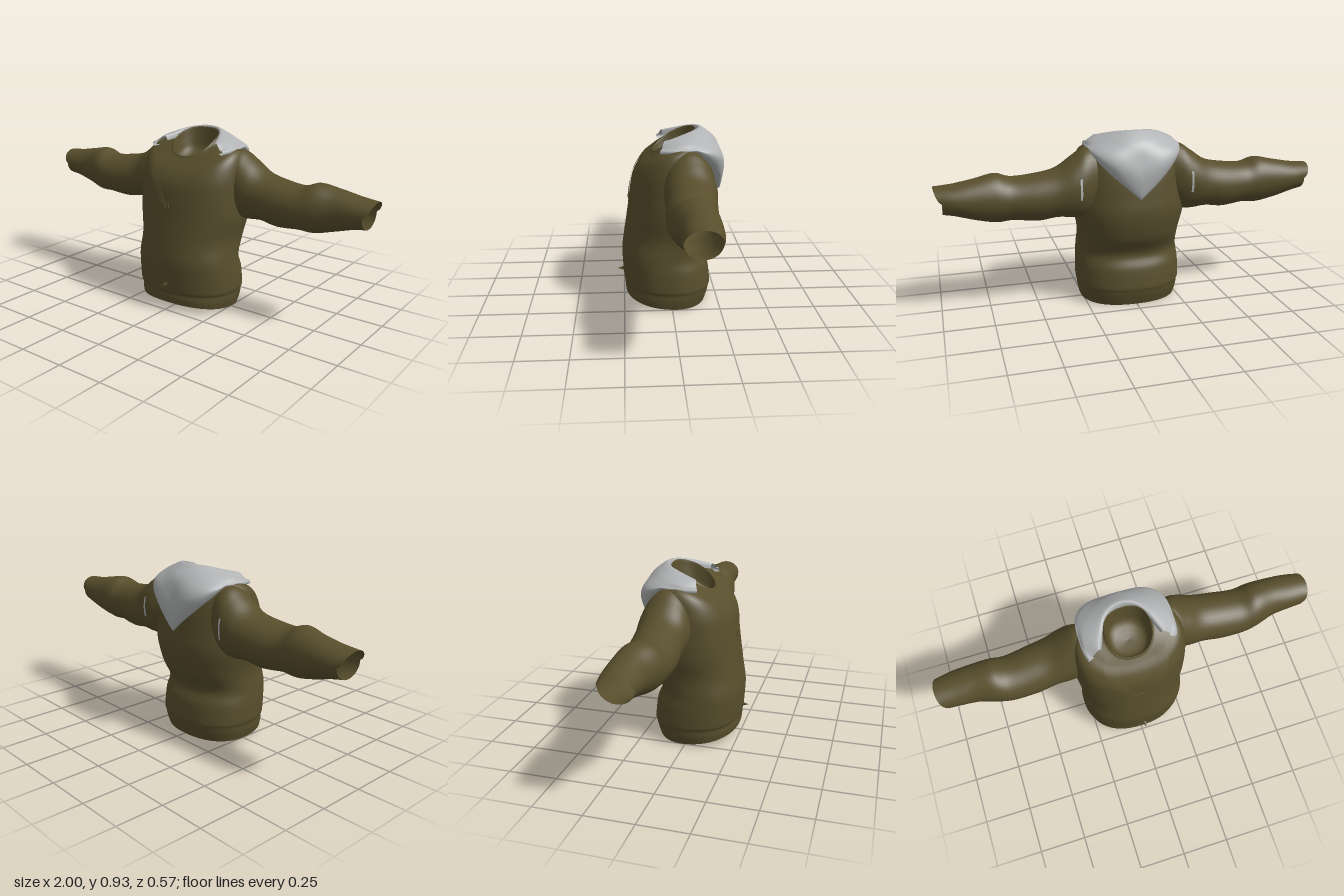
import * as THREE from 'three';

const olive = new THREE.MeshStandardMaterial({ name: 'olive cloth', color: 0x584e2c, side: THREE.DoubleSide });
const grey = new THREE.MeshStandardMaterial({ name: 'grey hood cloth', color: 0xb0b2b3, side: THREE.DoubleSide });

// Smooth interpolation through rows of numbers; t counts rows
function sample(rows, t) {
  const i = Math.min(Math.floor(t), rows.length - 2), f = t - i;
  const row = k => rows[THREE.MathUtils.clamp(k, 0, rows.length - 1)];
  const a = row(i - 1), b = row(i), c = row(i + 1), d = row(i + 2);
  return b.map((p, k) => {
    const m0 = (c[k] - a[k]) / 2, m1 = (d[k] - p) / 2, e = c[k] - p;
    return p + f * (m0 + f * (3 * e - 2 * m0 - m1 + f * (m0 + m1 - 2 * e)));
  });
}

// Surface mesh from fn(u, v) with u, v in 0..1; keep() may leave out cells
function surface(name, material, fn, nu, nv, closed = false, keep = () => true) {
  const cols = closed ? nu : nu + 1, pos = [], index = [];
  for (let j = 0; j <= nv; j++)
    for (let i = 0; i < cols; i++) pos.push(...fn(i / nu, j / nv));
  for (let j = 0; j < nv; j++)
    for (let i = 0; i < nu; i++) {
      if (!keep(...fn((i + 0.5) / nu, (j + 0.5) / nv))) continue;
      const a = j * cols + i, b = j * cols + (i + 1) % cols;
      index.push(a, b, b + cols, a, b + cols, a + cols);
    }
  const g = new THREE.BufferGeometry();
  g.setAttribute('position', new THREE.Float32BufferAttribute(pos, 3));
  g.setIndex(index);
  g.computeVertexNormals();
  const mesh = new THREE.Mesh(g, material);
  mesh.name = name;
  return mesh;
}

// Torso rings: y front, y side, y back, half width, z front, z back
const torsoRows = [
  [0.045, 0.012, 0.003, 0.262, 0.24, -0.19],
  [0.075, 0.055, 0.05, 0.272, 0.243, -0.205],
  [0.10, 0.09, 0.085, 0.274, 0.24, -0.212],
  [0.115, 0.11, 0.105, 0.281, 0.248, -0.215],
  [0.20, 0.20, 0.20, 0.28, 0.255, -0.203],
  [0.28, 0.28, 0.28, 0.273, 0.257, -0.178],
  [0.38, 0.38, 0.38, 0.27, 0.243, -0.23],
  [0.50, 0.50, 0.50, 0.292, 0.225, -0.254],
  [0.60, 0.61, 0.60, 0.295, 0.212, -0.245],
  [0.68, 0.73, 0.70, 0.29, 0.196, -0.23],
  [0.74, 0.825, 0.79, 0.265, 0.16, -0.205],
  [0.78, 0.86, 0.85, 0.20, 0.115, -0.17],
  [0.795, 0.872, 0.885, 0.128, 0.098, -0.14],
  [0.805, 0.885, 0.926, 0.116, 0.09, -0.13],
  [0.785, 0.84, 0.87, 0.108, 0.082, -0.12],
  [0.755, 0.775, 0.80, 0.085, 0.06, -0.10],
  [0.76, 0.76, 0.76, 0, -0.02, -0.02],
];

function torsoPoint(angle, t, offset = 0) {
  const [yf, ys, yb, w, zf, zb] = sample(torsoRows, t);
  const soft = v => Math.sign(v) * Math.abs(v) ** 0.87;
  const s = soft(Math.sin(angle)), c = soft(Math.cos(angle)), mean = (yf + yb) / 2;
  return [
    (w + offset) * s,
    mean + (yf - yb) / 2 * c + (ys - mean) * (1 - c * c) + offset * 0.4,
    (zf + zb) / 2 + ((zf - zb) / 2 + offset) * c,
  ];
}

const torsoPart = (name, t0, t1, nv, keep) => surface(name, olive,
  (u, v) => torsoPoint(u * Math.PI * 2, t0 + (t1 - t0) * v), 96, nv, true, keep);

// Sleeve rings: x, y centre, z centre, y radius, z radius
const sleeveRows = [
  [0.20, 0.68, -0.085, 0.165, 0.10],
  [0.26, 0.664, -0.085, 0.175, 0.125],
  [0.32, 0.643, -0.085, 0.156, 0.132],
  [0.40, 0.62, -0.083, 0.126, 0.125],
  [0.50, 0.602, -0.075, 0.121, 0.125],
  [0.62, 0.602, -0.065, 0.110, 0.118],
  [0.70, 0.612, -0.072, 0.124, 0.113],
  [0.80, 0.615, -0.086, 0.104, 0.098],
  [0.90, 0.62, -0.086, 0.08, 0.092],
  [0.96, 0.62, -0.08, 0.07, 0.083],
];

// The cuff end is longer on its upper half
function sleevePoint(side, angle, t, offset = 0) {
  const [x, y, z, ry, rz] = sample(sleeveRows, t);
  const lip = 0.04 * Math.max(0, t - 8) * Math.max(0, Math.cos(angle)) ** 0.6;
  return [side * (x + lip), y + (ry + offset) * Math.cos(angle), z + (rz + offset) * Math.sin(angle)];
}

// Hood: a profile from the neck rim over the roll to the hanging point, swept round the back
function hoodPoint(u, v) {
  const end = 1.95, a = (u * 2 - 1) * end, t2 = (a / end) ** 2, s2 = Math.sin(a) ** 2;
  const hang = Math.max(0, 1 - Math.abs(a) / 1.2);
  const corner = Math.abs(a) < 1.57 ? 0.03 * Math.sin(2 * a) ** 2 : 0;
  const tip = 0.05 * t2 ** 3;
  const low = 0.848 - 0.248 * hang - 0.02 * t2;
  const [r, y] = sample([
    [0.112 + tip, 0.89 - 0.03 * t2],
    [0.122 + tip, 0.932 - 0.05 * t2],
    [0.175 + tip * 0.3, 0.90 + 0.01 * s2 - 0.03 * t2],
    [0.212 + 0.01 * s2, 0.862 + 0.033 * s2 - 0.04 * t2],
    [0.235 + corner, THREE.MathUtils.lerp(0.86, low, 0.25)],
    [0.252 + corner - 0.01 * s2, THREE.MathUtils.lerp(0.86, low, 0.6)],
    [0.238 + corner * 0.5, low],
    [0.21, low + 0.005],
  ], v * 7);
  return [r * Math.sin(a), y, -0.03 - r * Math.cos(a)];
}

export function createModel() {
  const model = new THREE.Group();
  model.name = 'hoodedJacket';

  // Hem, body with arm openings, and the collar with its lining
  const outsideArmhole = (x, y, z) =>
    Math.abs(x) < 0.15 || ((y - 0.64) / 0.12) ** 2 + ((z + 0.085) / 0.1) ** 2 > 1;
  model.add(
    torsoPart('hemBand', 0, 3, 9),
    torsoPart('body', 3, 12, 72, outsideArmhole),
    torsoPart('collarLining', 12, 16, 16),
  );

  for (const side of [1, -1]) {
    const label = side > 0 ? 'left' : 'right';
    model.add(surface(label + 'Sleeve', olive,
      (u, v) => sleevePoint(side, u * Math.PI * 2, v * 9), 40, 45, true));

    // Lapel folded back beside the open neck
    model.add(surface(label + 'Lapel', olive, (u, v) => {
      const angle = side * THREE.MathUtils.lerp(0.5 * v, 0.02 + 0.95 * v, u);
      return torsoPoint(angle, 7.5 + 4.2 * v, 0.003 + 0.003 * u);
    }, 12, 30));

    // Small grey lining strip at the back of the armhole
    model.add(surface(label + 'ArmholeStrip', grey, (u, v) =>
      sleevePoint(side, -Math.PI / 2 - 0.3 + 0.65 * u, 1.45 + 0.2 * v, 0.003), 6, 2));
  }

  model.add(surface('hood', grey, hoodPoint, 56, 28));

  // Zip pull at the bottom of the neck opening
  const pull = new THREE.Mesh(new THREE.BoxGeometry(0.012, 0.04, 0.01), olive);
  pull.name = 'zipPull';
  pull.position.set(0, 0.56, 0.217);
  model.add(pull);

  // Pointed tab above the hem
  const tab = new THREE.Mesh(new THREE.ConeGeometry(0.016, 0.045, 4), olive);
  tab.name = 'hemTab';
  tab.rotation.x = Math.PI / 2;
  tab.position.set(0.01, 0.153, 0.262);
  model.add(tab);

  return model;
}
